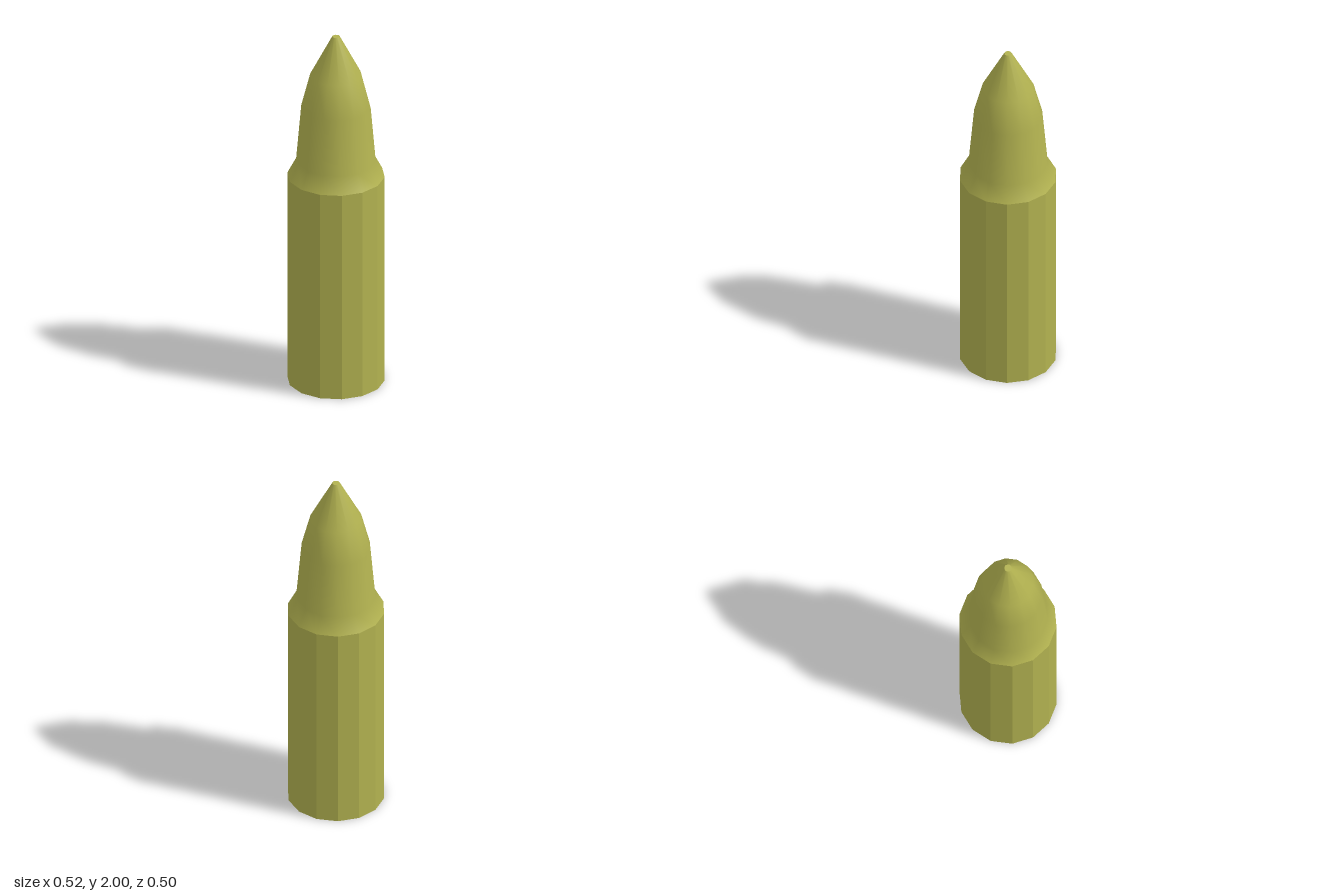
import * as THREE from 'three';

const SIDES = 14;
const COLOR = 0xb2b250;

// Revolves [radius, height] pairs, with a corner of the polygon on the x axis
function revolve(name, profile, flatShading) {
  const points = profile.map(([r, y]) => new THREE.Vector2(r, y));
  const geometry = new THREE.LatheGeometry(points, SIDES, Math.PI / 2);
  const mesh = new THREE.Mesh(geometry, new THREE.MeshStandardMaterial({ color: COLOR, flatShading }));
  mesh.name = name;
  return mesh;
}

export function createModel() {
  const group = new THREE.Group();
  group.name = 'cartridge';

  // Faceted case with a closed base
  group.add(revolve('case', [[0, 0], [0.258, 0], [0.258, 1.19]], true));

  // Smooth shoulder and tapering nose
  group.add(revolve('nose', [
    [0.258, 1.19], [0.211, 1.28], [0.184, 1.59], [0.137, 1.775], [0.02, 2],
  ], false));

  // Small flat tip
  group.add(revolve('tip', [[0.02, 2], [0, 2]], true));

  return group;
}
